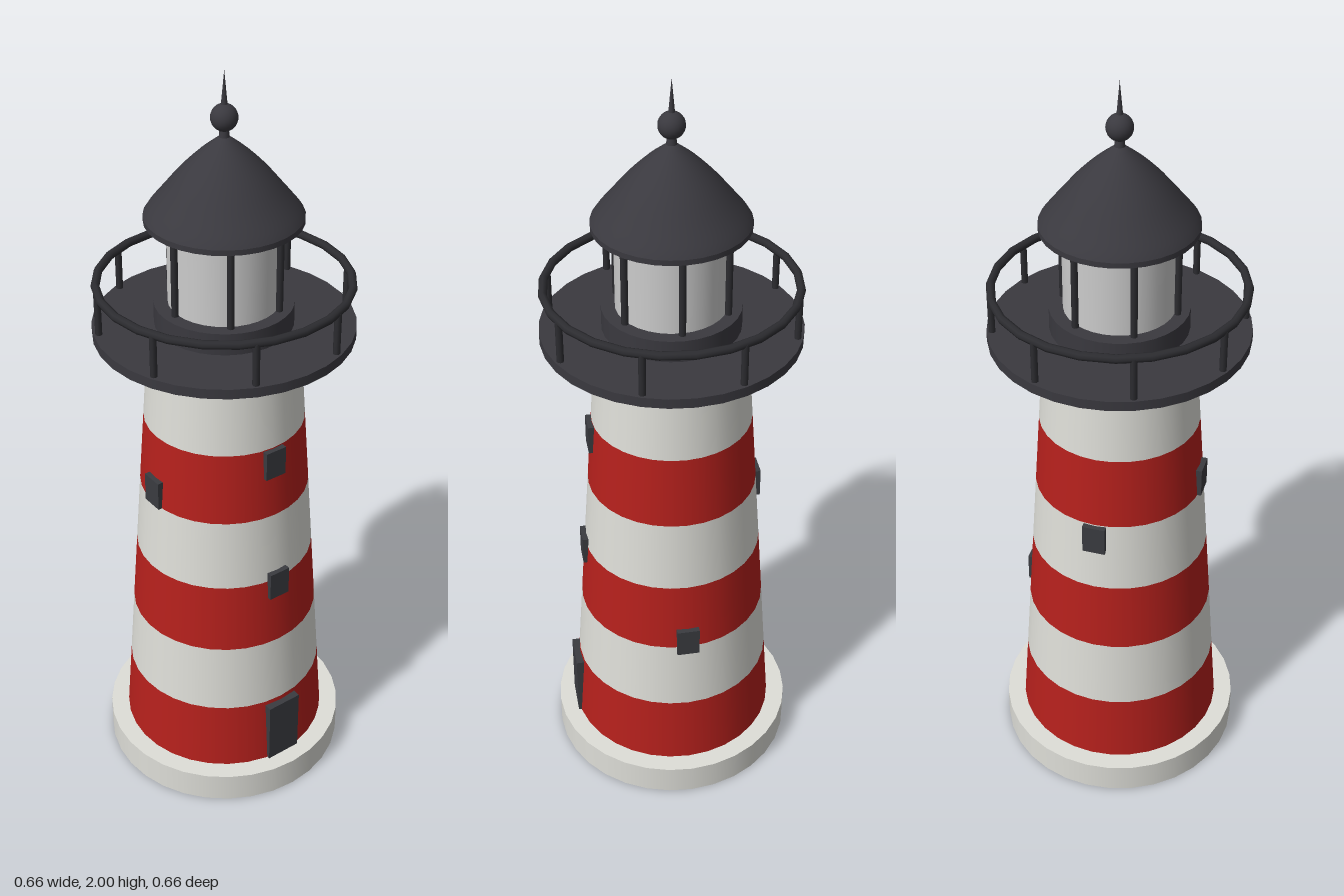
import * as THREE from 'three';

const mat = (color) => new THREE.MeshStandardMaterial({ color });

export function createModel() {
  const group = new THREE.Group();
  const white = mat(0xdeded8), red = mat(0xb5201c), dark = mat(0x3a393f);
  const iron = mat(0x2c2c30), glass = mat(0xcccccc), opening = mat(0x3a3b40);
  const SEG = 32;

  function add(name, geometry, material, x = 0, y = 0, z = 0, parent = group) {
    const mesh = new THREE.Mesh(geometry, material);
    mesh.name = name;
    mesh.position.set(x, y, z);
    parent.add(mesh);
    return mesh;
  }
  // Round part standing between two heights
  const drum = (name, rTop, rBottom, y0, y1, material, open = false) =>
    add(name, new THREE.CylinderGeometry(rTop, rBottom, y1 - y0, SEG, 1, open), material, 0, (y0 + y1) / 2);

  // Plinth and striped tapering tower
  const bottom = 0.085, top = 1.282, bands = 6;
  const towerRadius = (y) => 0.28 - 0.085 * (y - bottom) / (top - bottom);
  drum('plinth', 0.33, 0.33, 0, bottom, white);
  for (let i = 0; i < bands; i++) {
    const y0 = bottom + (top - bottom) * i / bands;
    const y1 = bottom + (top - bottom) * (i + 1) / bands;
    drum('towerBand', towerRadius(y1), towerRadius(y0), y0, y1, i % 2 ? white : red, true);
  }

  // Door and windows, set into the wall at a turn around the tower
  function addOpening(name, width, height, y, angle) {
    const holder = new THREE.Group();
    holder.name = name + 'Holder';
    holder.rotation.y = angle;
    group.add(holder);
    add(name, new THREE.BoxGeometry(width, height, 0.04), opening, 0, y, towerRadius(y) - 0.01, holder);
  }
  addOpening('door', 0.1, 0.188, 0.178, 0);
  [[0.67, 0], [1.04, 0], [0.505, Math.PI / 2], [0.84, Math.PI], [0.922, -Math.PI / 2]]
    .forEach(([y, angle]) => addOpening('window', 0.06, 0.08, y, angle));

  // Gallery deck with a flared underside
  drum('galleryFlare', 0.33, 0.195, 1.28, 1.328, iron);
  drum('galleryDeck', 0.33, 0.33, 1.328, 1.354, dark);

  // Railing
  const rail = add('rail', new THREE.TorusGeometry(0.316, 0.011, 8, 24), iron, 0, 1.465, 0);
  rail.rotation.x = Math.PI / 2;
  for (let i = 0; i < 8; i++) {
    const a = (i + 0.5) * Math.PI / 4;
    add('railPost', new THREE.CylinderGeometry(0.009, 0.009, 0.115, 8), iron,
      0.316 * Math.cos(a), 1.408, 0.316 * Math.sin(a));
  }

  // Lantern room
  drum('lanternBase', 0.175, 0.175, 1.354, 1.412, dark);
  drum('lanternGlass', 0.14, 0.14, 1.412, 1.64, glass);
  for (let i = 0; i < 6; i++) {
    const a = i * Math.PI / 3;
    add('lanternBar', new THREE.CylinderGeometry(0.009, 0.009, 0.228, 8), iron,
      0.147 * Math.cos(a), 1.526, 0.147 * Math.sin(a));
  }

  // Bell-shaped roof, closed underneath
  const curve = new THREE.SplineCurve([
    [0.195, 1.644], [0.183, 1.662], [0.152, 1.7], [0.108, 1.753], [0.058, 1.803], [0.012, 1.84],
  ].map(([r, y]) => new THREE.Vector2(r, y)));
  add('roof', new THREE.LatheGeometry([...curve.getPoints(14), new THREE.Vector2(0, 1.842)], SEG), dark);
  drum('eaves', 0.195, 0.195, 1.63, 1.644, dark);

  // Finial
  drum('finialNeck', 0.01, 0.014, 1.83, 1.865, dark);
  add('finialBall', new THREE.SphereGeometry(0.033, 20, 14), dark, 0, 1.886, 0);
  add('finialSpike', new THREE.ConeGeometry(0.009, 0.095, 12), dark, 0, 1.9525, 0);

  return group;
}
